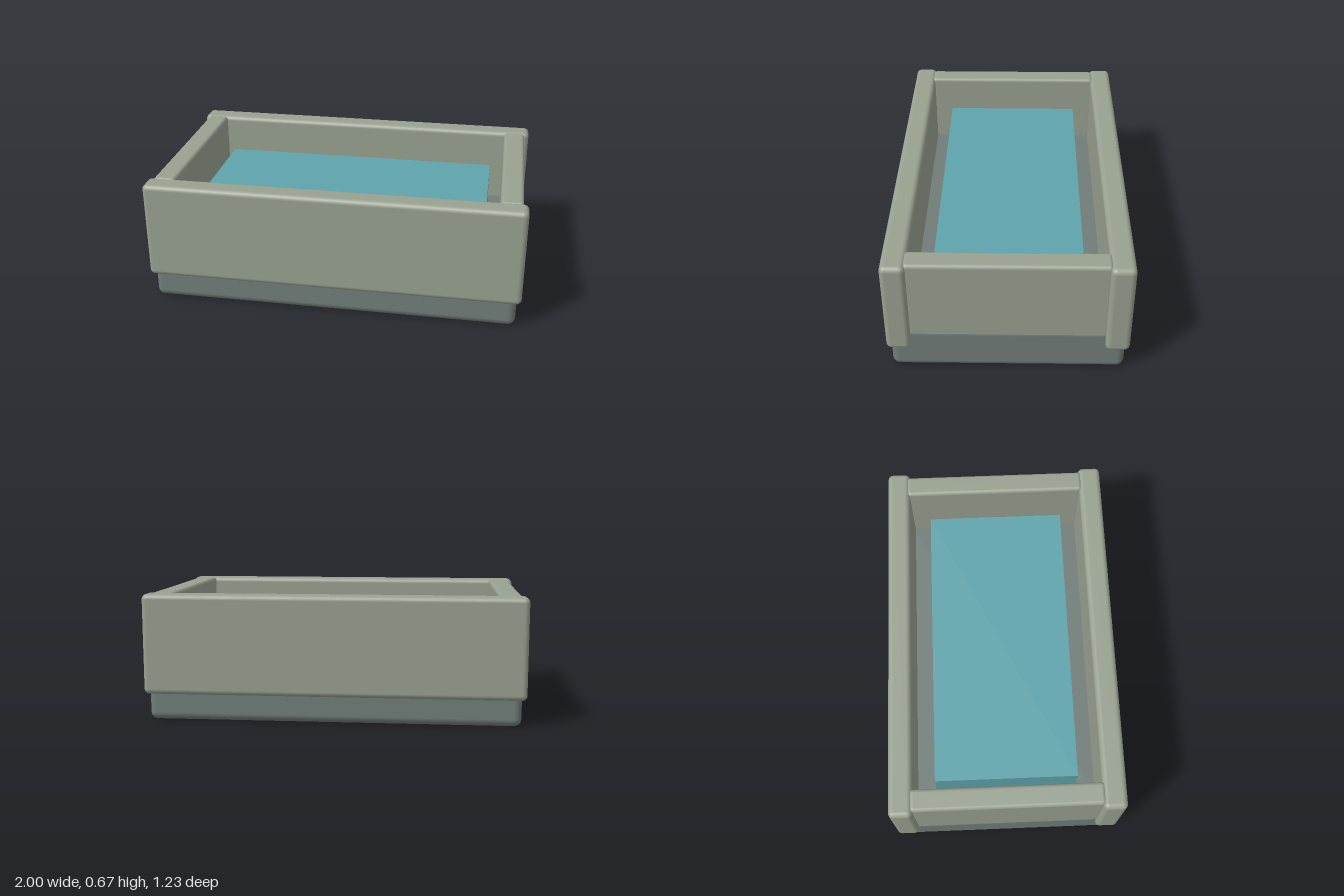
import * as THREE from 'three';
import { RoundedBoxGeometry } from 'three/addons/geometries/RoundedBoxGeometry.js';

export function createModel() {
  const model = new THREE.Group();
  model.name = 'waterBasin';

  const material = (name, color) => {
    const m = new THREE.MeshStandardMaterial({ color });
    m.name = name;
    return m;
  };
  const wallStone = material('pale sage stone', 0x98a190);
  const baseStone = material('dark grey stone', 0x717d79);
  const water = material('teal water', 0x5fa3ac);

  // Box standing on y = bottom, with softened edges when radius > 0
  const addBox = (name, mat, [w, h, d], [x, bottom, z], radius) => {
    const geometry = radius
      ? new RoundedBoxGeometry(w, h, d, 4, radius)
      : new THREE.BoxGeometry(w, h, d);
    const mesh = new THREE.Mesh(geometry, mat);
    mesh.name = name;
    mesh.position.set(x, bottom + h / 2, z);
    model.add(mesh);
  };

  // Plinth, whose top is the floor of the basin
  addBox('base', baseStone, [1.952, 0.255, 1.19], [0, 0, 0], 0.04);

  // Long walls overhang the base; short walls fit between them
  for (const s of [1, -1]) {
    addBox(s > 0 ? 'frontWall' : 'backWall', wallStone,
      [2, 0.53, 0.125], [0, 0.14, s * 0.553], 0.028);
    addBox(s > 0 ? 'leftWall' : 'rightWall', wallStone,
      [0.118, 0.53, 1.01], [s * 0.915, 0.14, 0], 0.02);
  }

  // Body of water inset from the walls
  addBox('water', water, [1.57, 0.26, 0.765], [0, 0.24, 0], 0);

  return model;
}
